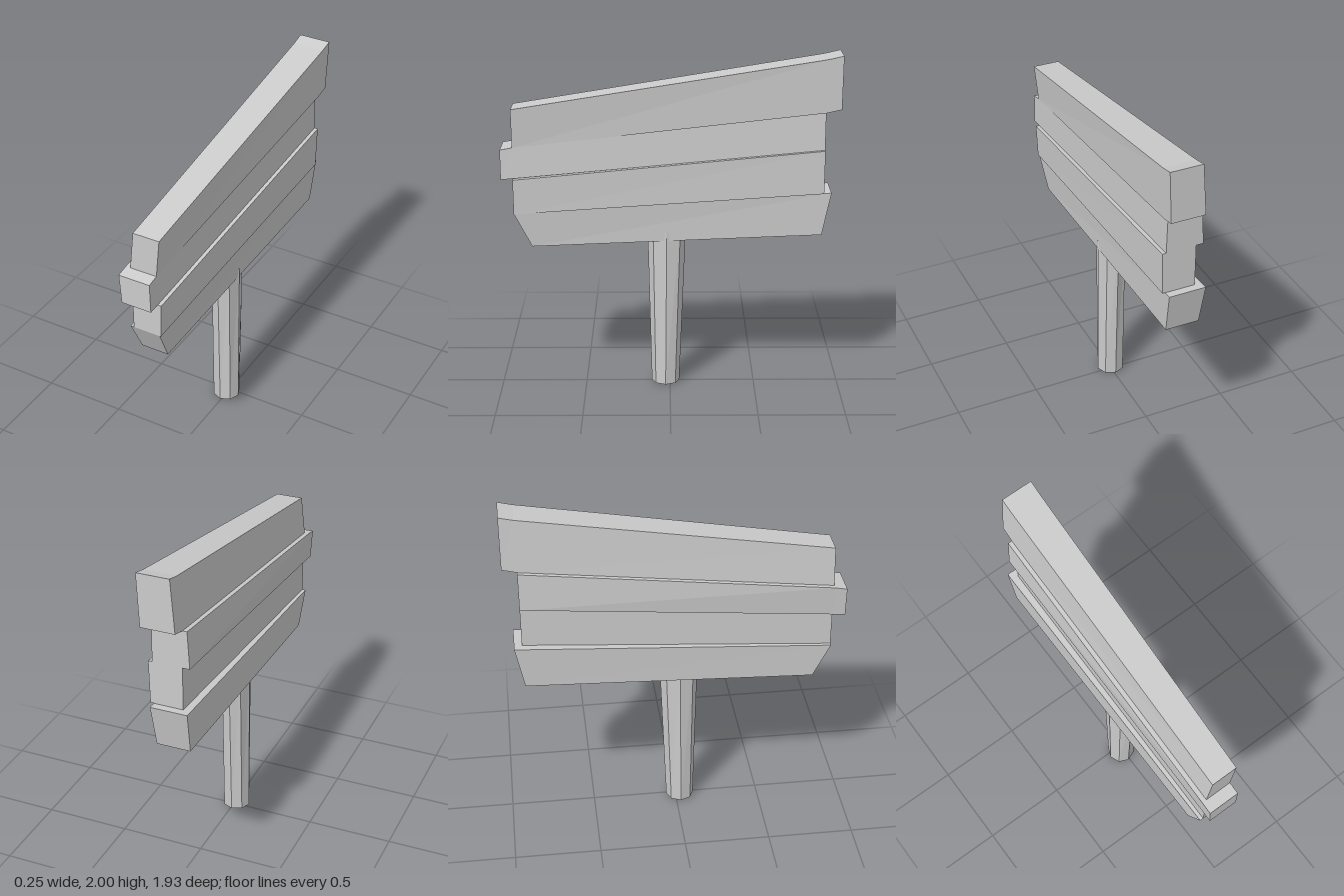
import * as THREE from 'three';

const material = new THREE.MeshStandardMaterial({ color: 0xcccccc, flatShading: true });

// Uneven board: a box whose cross-sections run from +z to -z.
// Each section has a bottom and a top edge: [z, y, xRight, xLeft].
function board(name, sections) {
  const n = sections.length - 1;
  const geometry = new THREE.BoxGeometry(1, 1, 1, 1, 1, n);
  const p = geometry.attributes.position;
  for (let i = 0; i < p.count; i++) {
    const section = sections[Math.round((0.5 - p.getZ(i)) * n)];
    const [z, y, x0, x1] = p.getY(i) < 0 ? section.bottom : section.top;
    p.setXYZ(i, p.getX(i) < 0 ? x0 : x1, y, z);
  }
  geometry.computeVertexNormals();
  const mesh = new THREE.Mesh(geometry, material);
  mesh.name = name;
  return mesh;
}

const section = (bottom, top) => ({ bottom, top });

export function createModel() {
  const model = new THREE.Group();
  model.name = 'woodenSign';

  // Sign boards, top to bottom
  model.add(
    board('topBoard', [
      section([0.9, 1.463, -0.09, 0.07], [0.9, 1.69, -0.065, 0.093]),
      section([-0.88, 1.672, -0.09, 0.108], [-0.88, 1.98, -0.065, 0.122]),
      section([-0.965, 1.692, -0.088, 0.11], [-0.965, 2.0, -0.065, 0.124]),
    ]),
    board('upperMiddleBoard', [
      section([0.97, 1.275, -0.107, 0.073], [0.97, 1.45, -0.118, 0.07]),
      section([0.9, 1.282, -0.107, 0.074], [0.9, 1.463, -0.118, 0.07]),
      section([-0.88, 1.452, -0.127, 0.09], [-0.88, 1.672, -0.115, 0.085]),
    ]),
    board('lowerMiddleBoard', [
      section([0.9, 1.072, -0.085, 0.085], [0.9, 1.278, -0.085, 0.093]),
      section([-0.88, 1.198, -0.085, 0.106], [-0.88, 1.452, -0.085, 0.112]),
    ]),
    board('bottomBoard', [
      section([0.8, 0.87, -0.103, 0.062], [0.9, 1.072, -0.106, 0.078]),
      section([-0.875, 0.943, -0.12, 0.078], [-0.925, 1.198, -0.128, 0.088]),
    ]),
  );

  // Octagonal post, widening towards the top along z only
  const height = 0.96;
  const geometry = new THREE.CylinderGeometry(0.082, 0.082, height, 8);
  geometry.translate(0, height / 2, 0);
  const p = geometry.attributes.position;
  for (let i = 0; i < p.count; i++) {
    const t = p.getY(i) / height;
    p.setX(i, p.getX(i) - 0.008);
    p.setZ(i, p.getZ(i) * (1 + 0.36 * t) + 0.027 - 0.007 * t);
  }
  geometry.computeVertexNormals();
  const post = new THREE.Mesh(geometry, material);
  post.name = 'post';
  model.add(post);

  return model;
}
